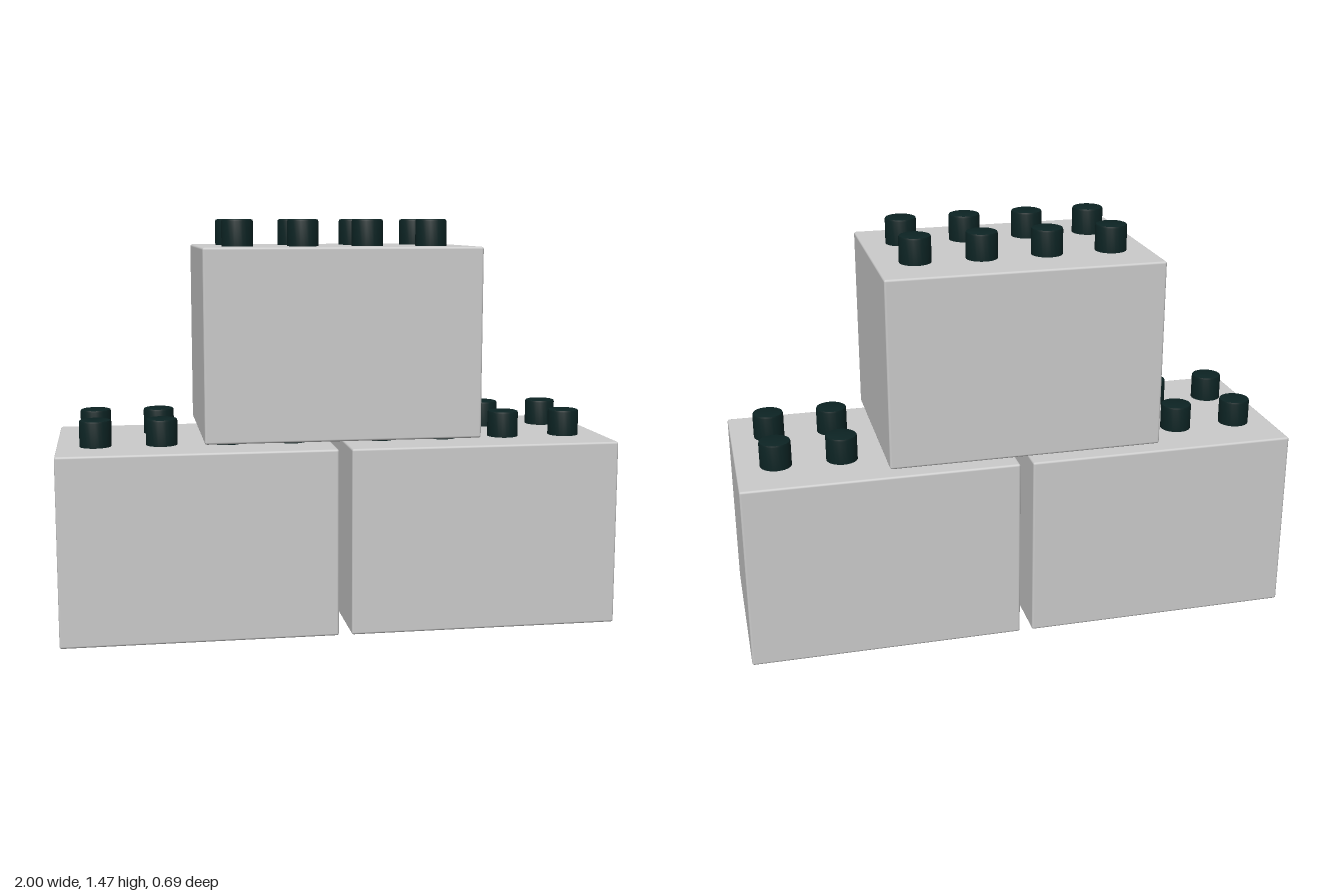
import * as THREE from 'three';
import { RoundedBoxGeometry } from 'three/addons/geometries/RoundedBoxGeometry.js';
import { toCreasedNormals } from 'three/addons/utils/BufferGeometryUtils.js';

const WIDTH = 0.977, HEIGHT = 0.672, DEPTH = 0.693;
const STUD_RADIUS = 0.056, STUD_HEIGHT = 0.095, PITCH_X = 0.233, PITCH_Z = 0.279;

export function createModel() {
  const blockGrey = new THREE.MeshStandardMaterial({ name: 'blockGrey', color: 0xcbcbcb });
  const studDark = new THREE.MeshStandardMaterial({ name: 'studDark', color: 0x0c2323 });

  const bodyGeometry = new RoundedBoxGeometry(WIDTH, HEIGHT, DEPTH, 2, 0.008);

  // Stud: short cylinder with a softened top rim, sunk slightly into the block
  const profile = [
    [0, -0.01], [STUD_RADIUS, -0.01], [STUD_RADIUS, STUD_HEIGHT - 0.008],
    [STUD_RADIUS - 0.002, STUD_HEIGHT - 0.002], [STUD_RADIUS - 0.008, STUD_HEIGHT], [0, STUD_HEIGHT],
  ].map(([x, y]) => new THREE.Vector2(x, y));
  const studGeometry = toCreasedNormals(new THREE.LatheGeometry(profile, 24), 0.9);

  // One block with a 4 x 2 grid of studs
  function makeBlock(name, x, y) {
    const block = new THREE.Group();
    block.name = name;
    block.position.set(x, y, 0);

    const body = new THREE.Mesh(bodyGeometry, blockGrey);
    body.name = 'body';
    body.position.y = HEIGHT / 2;
    block.add(body);

    for (let column = 0; column < 4; column++) {
      for (const side of [-1, 1]) {
        const stud = new THREE.Mesh(studGeometry, studDark);
        stud.name = 'stud';
        stud.position.set((column - 1.5) * PITCH_X - 0.002, HEIGHT, side * PITCH_Z / 2 - 0.002);
        block.add(stud);
      }
    }
    return block;
  }

  // Two blocks side by side, a third bridging them
  const model = new THREE.Group();
  model.name = 'stackedBlocks';
  model.add(
    makeBlock('lowerRightBlock', -0.5115, 0),
    makeBlock('lowerLeftBlock', 0.5115, 0),
    makeBlock('upperBlock', -0.002, 0.7),
  );
  return model;
}
